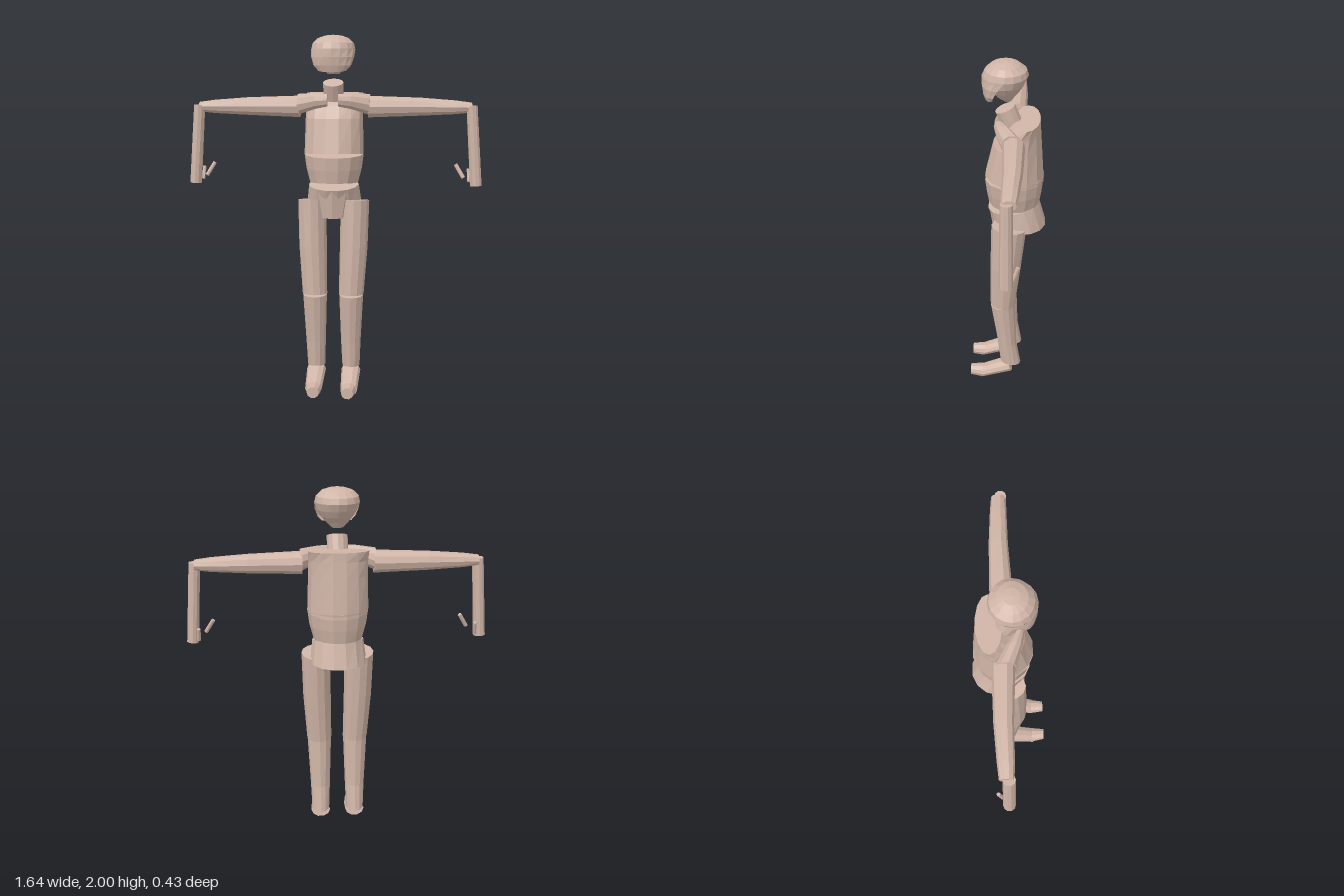
import * as THREE from 'three';

const skin = new THREE.MeshStandardMaterial({ color: 0xd0b5a7, side: THREE.DoubleSide });
skin.name = 'skin';
const V = (x, y, z) => new THREE.Vector3(x, y, z);

// Faceted loft through elliptical rings {c, u, v}; arc < 2 PI leaves an open shell.
function loft(rings, sides = 12, arc = Math.PI * 2, capStart = true, capEnd = true) {
  const pos = [];
  const put = (...pts) => pts.forEach((p) => pos.push(p.x, p.y, p.z));
  const pts = rings.map(({ c, u, v }) => Array.from({ length: sides + 1 }, (_, i) => {
    const a = (i / sides) * arc;
    return c.clone().addScaledVector(u, Math.cos(a)).addScaledVector(v, Math.sin(a));
  }));
  for (let j = 0; j < pts.length - 1; j++) {
    for (let i = 0; i < sides; i++) {
      const [a, b, c, d] = [pts[j][i], pts[j][i + 1], pts[j + 1][i + 1], pts[j + 1][i]];
      put(a, d, b, b, d, c);
    }
  }
  const last = rings.length - 1;
  for (let i = 0; i < sides; i++) {
    if (capStart) put(rings[0].c, pts[0][i], pts[0][i + 1]);
    if (capEnd) put(rings[last].c, pts[last][i + 1], pts[last][i]);
  }
  const g = new THREE.BufferGeometry();
  g.setAttribute('position', new THREE.Float32BufferAttribute(pos, 3));
  g.computeVertexNormals();
  return g;
}

// Ring across x, given by its front and back points: [centreX, radiusX, frontZ, frontY, backZ, backY]
const ring = ([cx, rx, zf, yf, zb, yb]) => ({
  c: V(cx, (yf + yb) / 2, (zf + zb) / 2),
  u: V(rx, 0, 0),
  v: V(0, (yf - yb) / 2, (zf - zb) / 2),
});

// Ring for a limb running along +x: [x, lowY, highY, backZ, frontZ]
const armRing = ([x, y0, y1, z0, z1]) => ({
  c: V(x, (y0 + y1) / 2, (z0 + z1) / 2),
  u: V(0, 0, (z1 - z0) / 2),
  v: V(0, (y1 - y0) / 2, 0),
});

// Straight rod between two points
function rod(a, b, r0, r1, sides) {
  const g = new THREE.CylinderGeometry(r1, r0, a.distanceTo(b), sides).toNonIndexed();
  const q = new THREE.Quaternion().setFromUnitVectors(V(0, 1, 0), b.clone().sub(a).normalize());
  g.applyQuaternion(q);
  const m = a.clone().add(b).multiplyScalar(0.5);
  g.translate(m.x, m.y, m.z);
  g.computeVertexNormals();
  return g;
}

// Mirror across x, keeping faces outward
function mirror(src) {
  const g = src.clone();
  const p = g.attributes.position;
  for (let i = 0; i < p.count; i += 3) {
    const t = [0, 2, 1].map((k) => V(-p.getX(i + k), p.getY(i + k), p.getZ(i + k)));
    t.forEach((v, k) => p.setXYZ(i + k, v.x, v.y, v.z));
  }
  g.computeVertexNormals();
  return g;
}

export function createModel() {
  const model = new THREE.Group();
  model.name = 'jointedFigure';
  const add = (name, g) => {
    const m = new THREE.Mesh(g, skin);
    m.name = name;
    model.add(m);
  };
  const pair = (name, g) => {
    add('left' + name, g);
    add('right' + name, mirror(g));
  };

  // Head: skull tapering to the nape, with a separate face shell in front
  add('skull', loft([
    [0, 0.03, 0.02, 1.79, -0.025, 1.79],
    [0, 0.06, 0.055, 1.815, -0.045, 1.82],
    [0, 0.085, 0.08, 1.845, -0.07, 1.85],
    [0, 0.108, 0.11, 1.88, -0.092, 1.885],
    [0, 0.12, 0.128, 1.92, -0.11, 1.925],
    [0, 0.113, 0.114, 1.955, -0.102, 1.955],
    [0, 0.085, 0.083, 1.982, -0.067, 1.982],
    [0, 0.045, 0.045, 1.996, -0.035, 1.996],
    [0, 0.003, 0.008, 2, 0, 2],
  ].map(ring), 16));
  add('face', loft([
    [0, 0.08, 0.112, 1.8, 0.03, 1.825],
    [0, 0.102, 0.123, 1.835, 0.01, 1.84],
    [0, 0.116, 0.13, 1.88, -0.04, 1.88],
    [0, 0.121, 0.13, 1.925, -0.105, 1.925],
  ].map(ring), 8, Math.PI, true, false));

  // Neck leans forward
  add('neck', rod(V(0, 1.66, -0.024), V(0, 1.745, 0.01), 0.056, 0.056, 12));

  // Torso blocks, with a narrow wedge between chest and waist
  add('chest', loft([
    [0, 0.166, 0.12, 1.365, -0.2, 1.335],
    [0, 0.16, 0.075, 1.55, -0.185, 1.55],
    [0, 0.158, 0.03, 1.62, -0.178, 1.64],
    [0, 0.16, -0.04, 1.685, -0.175, 1.69],
  ].map(ring), 14));
  add('waist', loft([
    [0, 0.135, 0.1, 1.2, -0.175, 1.185],
    [0, 0.155, 0.112, 1.27, -0.19, 1.27],
    [0, 0.166, 0.12, 1.34, -0.2, 1.365],
  ].map(ring), 14));
  add('pelvis', loft([
    [0, 0.155, 0.07, 1.075, -0.215, 1.06],
    [0, 0.14, 0.105, 1.16, -0.175, 1.205],
  ].map(ring), 14));
  add('groin', loft([
    [0, 0.076, 0.075, 1.0, -0.05, 1.01],
    [0, 0.11, 0.1, 1.155, -0.08, 1.15],
  ].map(ring), 8));

  // Shoulders and upper arms
  pair('Collar', loft([
    [0.03, 1.615, 1.685, 0.015, 0.068],
    [0.1, 1.6, 1.69, -0.03, 0.055],
    [0.2, 1.565, 1.685, -0.09, 0.022],
  ].map(armRing), 10));
  pair('UpperArm', loft([
    [0.19, 1.552, 1.675, -0.1, 0.018],
    [0.48, 1.563, 1.665, -0.097, 0.002],
    [0.67, 1.573, 1.65, -0.086, 0],
    [0.755, 1.583, 1.638, -0.078, -0.005],
  ].map(armRing), 10));

  // Hanging forearms and loose finger sticks
  pair('Forearm', rod(V(0.787, 1.182, -0.03), V(0.755, 1.62, -0.03), 0.033, 0.031, 10));
  pair('Thumb', rod(V(0.716, 1.228, -0.005), V(0.673, 1.3, -0.025), 0.011, 0.011, 8));
  pair('Finger', rod(V(0.752, 1.2, -0.062), V(0.748, 1.27, -0.085), 0.01, 0.01, 8));

  // Legs
  pair('Thigh', loft([
    [0.103, 0.07, 0.09, 0.568, -0.05, 0.558],
    [0.115, 0.078, 0.088, 0.84, -0.082, 0.83],
    [0.12, 0.08, 0.08, 1.108, -0.11, 1.085],
  ].map(ring), 12));
  pair('Shin', loft([
    [0.1, 0.05, 0.035, 0.135, -0.085, 0.118],
    [0.1, 0.056, 0.05, 0.28, -0.06, 0.27],
    [0.103, 0.068, 0.09, 0.555, -0.05, 0.565],
  ].map(ring), 12));

  // Feet run forward from sole-to-top rings
  pair('Foot', loft([
    [0.1, 0.055, -0.035, 0.062, -0.012, 0.142],
    [0.1, 0.047, 0.152, 0.003, 0.137, 0.078],
  ].map(ring), 10));
  pair('Toe', loft([
    [0.098, 0.045, 0.152, 0.002, 0.137, 0.079],
    [0.096, 0.034, 0.215, 0.01, 0.215, 0.075],
  ].map(ring), 10));

  return model;
}
